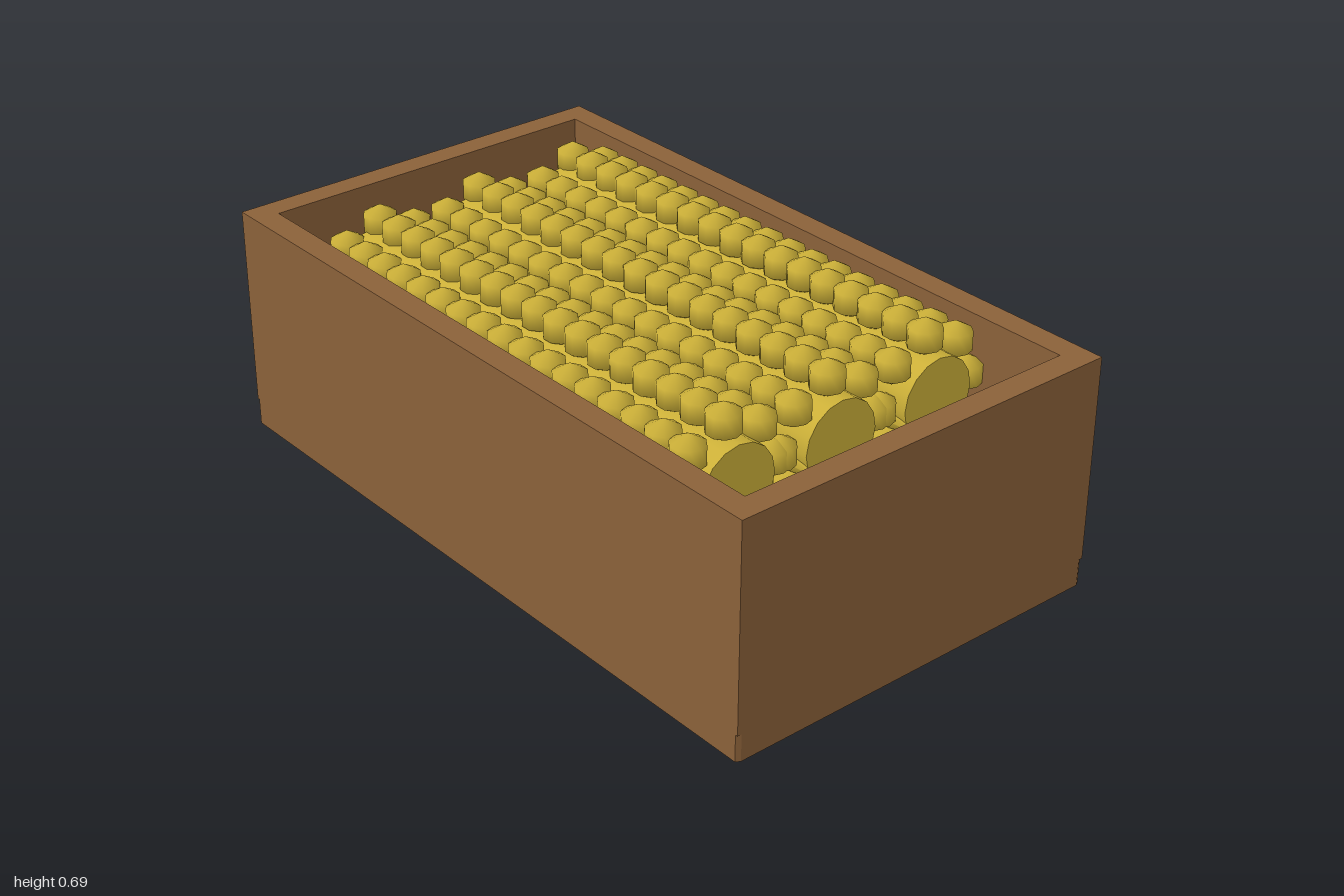
import * as THREE from 'three';
import { mergeGeometries } from 'three/addons/utils/BufferGeometryUtils.js';

const wood = new THREE.MeshStandardMaterial({ color: 0x8b6139 });
wood.name = 'brownWood';
const corn = new THREE.MeshStandardMaterial({ color: 0xccb038 });
corn.name = 'yellowCorn';

function add(parent, name, geometry, material, x = 0, y = 0, z = 0) {
  const mesh = new THREE.Mesh(geometry, material);
  mesh.name = name;
  mesh.position.set(x, y, z);
  parent.add(mesh);
  return mesh;
}

// Polygon in plan (x, z), raised from y0 by a height
function slab(points, holes, y0, height) {
  const shape = new THREE.Shape(points.map(([x, z]) => new THREE.Vector2(x, z)));
  for (const h of holes) shape.holes.push(new THREE.Path(h.map(([x, z]) => new THREE.Vector2(x, z))));
  return new THREE.ExtrudeGeometry(shape, { depth: height, bevelEnabled: false })
    .rotateX(-Math.PI / 2).translate(0, y0, 0);
}
const rect = (x, z) => [[-x, -z], [x, -z], [x, z], [-x, z]];

function createCrate() {
  const crate = new THREE.Group();
  crate.name = 'crate';
  // Floor with its corners cut off
  const a = 0.993, b = 0.558;
  add(crate, 'floor', slab([[-a, -0.57], [a, -0.57], [1, -b], [1, b], [a, 0.57],
    [-a, 0.57], [-1, b], [-1, -b]], [], 0, 0.075), wood);
  add(crate, 'walls', slab(rect(1, 0.57), [rect(0.93, 0.5)], 0.075, 0.567), wood);
  return crate;
}

// Kernels: rings of eight, all standing upright
function kernelsGeometry() {
  const kernel = new THREE.SphereGeometry(0.052, 10, 3);
  const parts = [];
  for (let i = 0; i < 17; i++) {
    for (let j = 0; j < 8; j++) {
      const t = j * Math.PI / 4;
      parts.push(kernel.clone().translate(-0.713 + i * 0.0856, 0.15 * Math.cos(t), 0.15 * Math.sin(t)));
    }
  }
  return mergeGeometries(parts);
}

function createCob(z, kernels) {
  const cob = new THREE.Group();
  cob.name = 'cornCob';
  cob.position.set(0, 0.493, z);
  const core = new THREE.CylinderGeometry(0.112, 0.14, 1.43, 16).rotateZ(-Math.PI / 2);
  add(cob, 'core', core, corn, -0.003);
  add(cob, 'kernels', kernels, corn);
  // Pointed husk tips at both ends
  const tip = (dir) => new THREE.ConeGeometry(0.035, 0.16, 6).scale(1, 1, 0.4).rotateZ(-dir * Math.PI / 2);
  add(cob, 'leftHuskTip', tip(1), corn, 0.69, -0.04, 0.11);
  add(cob, 'rightHuskTip', tip(-1), corn, -0.74, -0.02, 0.15);
  return cob;
}

export function createModel() {
  const model = new THREE.Group();
  model.name = 'crateOfCorn';
  model.add(createCrate());
  const kernels = kernelsGeometry();
  for (const z of [-0.322, 0, 0.322]) model.add(createCob(z, kernels));
  return model;
}
